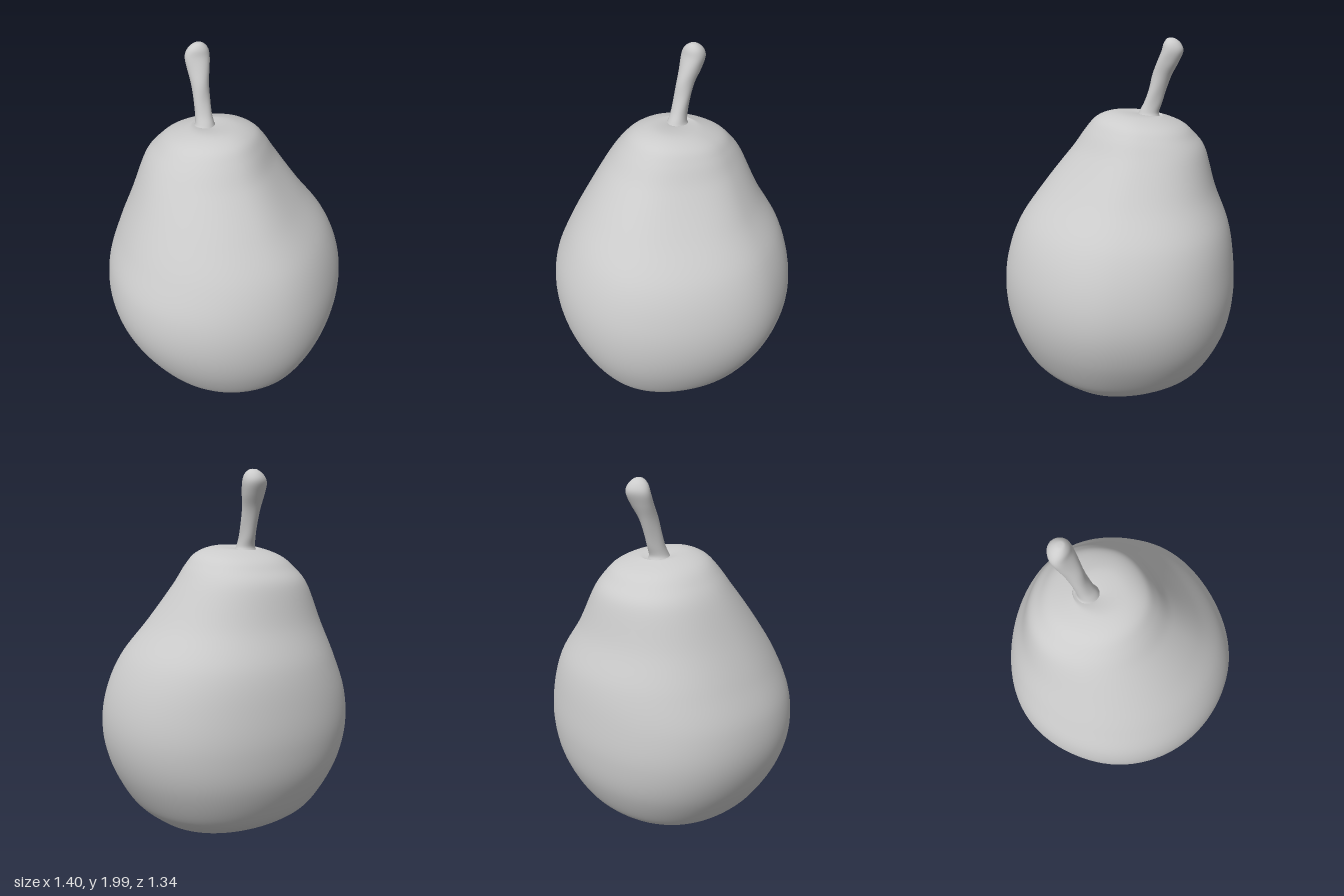
import * as THREE from 'three';
import { mergeVertices } from 'three/addons/utils/BufferGeometryUtils.js';

// Smooth loft through rows of [y, left x, right x, front z, back z];
// first and last rows shrink to a point. warp(v, angle, c) reshapes each vertex.
function loft(rows, around, steps, warp) {
  const edge = (i, j) => new THREE.CatmullRomCurve3(
    rows.map((r) => new THREE.Vector3(r[i], r[0], r[j])), false, 'catmullrom', 0.5);
  const low = edge(1, 4);
  const high = edge(2, 3);
  const pos = [];
  const index = [];
  for (let s = 0; s <= steps; s++) {
    const a = low.getPoint(s / steps);
    const b = high.getPoint(s / steps);
    const c = a.clone().add(b).multiplyScalar(0.5);
    for (let k = 0; k < around; k++) {
      const t = (k / around) * Math.PI * 2;
      const v = new THREE.Vector3(
        c.x + ((b.x - a.x) / 2) * Math.cos(t), c.y, c.z + ((b.z - a.z) / 2) * Math.sin(t));
      warp(v, t, c);
      pos.push(v.x, v.y, v.z);
      if (s === steps) continue;
      const p = s * around + k;
      const q = s * around + ((k + 1) % around);
      index.push(p, p + around, q, q, p + around, q + around);
    }
  }
  let geo = new THREE.BufferGeometry();
  geo.setAttribute('position', new THREE.Float32BufferAttribute(pos, 3));
  geo.setIndex(index);
  geo = mergeVertices(geo, 1e-5);
  geo.computeVertexNormals();
  return geo;
}

export function createModel() {
  const group = new THREE.Group();
  const material = new THREE.MeshStandardMaterial({ color: 0xcccccc, roughness: 0.8 });
  const add = (name, geo) => {
    const mesh = new THREE.Mesh(geo, material);
    mesh.name = name;
    group.add(mesh);
  };

  // Fruit: lopsided body with a dimple under it and a sloping crown
  const body = [
    [0.05, 0.08, 0.08, 0, 0],
    [0.03, -0.03, 0.17, 0.1, -0.1],
    [0.005, -0.2, 0.25, 0.2, -0.2],
    [0.04, -0.33, 0.36, 0.36, -0.31],
    [0.1, -0.43, 0.45, 0.465, -0.43],
    [0.2, -0.53, 0.55, 0.56, -0.54],
    [0.4, -0.645, 0.655, 0.64, -0.635],
    [0.6, -0.7, 0.7, 0.667, -0.667],
    [0.8, -0.685, 0.68, 0.645, -0.657],
    [1.0, -0.605, 0.6, 0.57, -0.62],
    [1.2, -0.51, 0.455, 0.43, -0.54],
    [1.4, -0.41, 0.325, 0.27, -0.48],
    [1.5, -0.335, 0.26, 0.185, -0.42],
    [1.56, -0.265, 0.2, 0.12, -0.36],
    [1.595, -0.17, 0.1, 0.03, -0.25],
    [1.59, -0.11, 0.0, -0.08, -0.23],
    [1.57, -0.06, -0.06, -0.16, -0.16],
  ];
  add('fruitBody', loft(body, 96, 128, (v, t, c) => {
    // fuller at the back, flatter at the front left, more so at the neck
    const corner = Math.sin(2 * t) ** 2;
    const neck = Math.exp(-(((c.y - 1.3) / 0.2) ** 2));
    let k = 1;
    if (Math.sin(t) < 0) k += 0.035 * corner;
    else if (Math.cos(t) > 0) k -= (0.04 + 0.03 * neck) * corner;
    v.x = c.x + (v.x - c.x) * k;
    v.z = c.z + (v.z - c.z) * k;
    // crown slopes down to the back
    v.y += 0.1 * THREE.MathUtils.smoothstep(c.y, 1.4, 1.58) * (v.z - c.z);
    // shallow hollow in the front of the base
    const fade = 1 - THREE.MathUtils.smoothstep(c.y, 0.03, 0.2);
    v.y += 0.03 * fade * Math.exp(-((v.x - 0.15) ** 2 + (v.z - 0.26) ** 2) / 0.02);
  }));

  // Stem: leans back, flares at the foot and swells to a knob
  const stem = [
    [1.55, -0.06, -0.06, -0.155, -0.155],
    [1.565, -0.125, 0.005, -0.095, -0.22],
    [1.6, -0.11, -0.008, -0.105, -0.215],
    [1.65, -0.102, -0.014, -0.13, -0.23],
    [1.72, -0.1, -0.012, -0.155, -0.25],
    [1.8, -0.1, -0.005, -0.175, -0.28],
    [1.87, -0.104, 0.015, -0.2, -0.315],
    [1.93, -0.106, 0.026, -0.222, -0.338],
    [1.97, -0.09, 0.015, -0.232, -0.325],
    [1.995, -0.06, -0.012, -0.25, -0.295],
    [2.0, -0.036, -0.036, -0.27, -0.27],
  ];
  add('stem', loft(stem, 32, 50, (v, t, c) => {
    // slightly gnarled bark
    const k = 1 + 0.05 * Math.sin(3 * t + 9 * c.y) * Math.sin(14 * c.y);
    v.x = c.x + (v.x - c.x) * k;
    v.z = c.z + (v.z - c.z) * k;
  }));

  return group;
}
